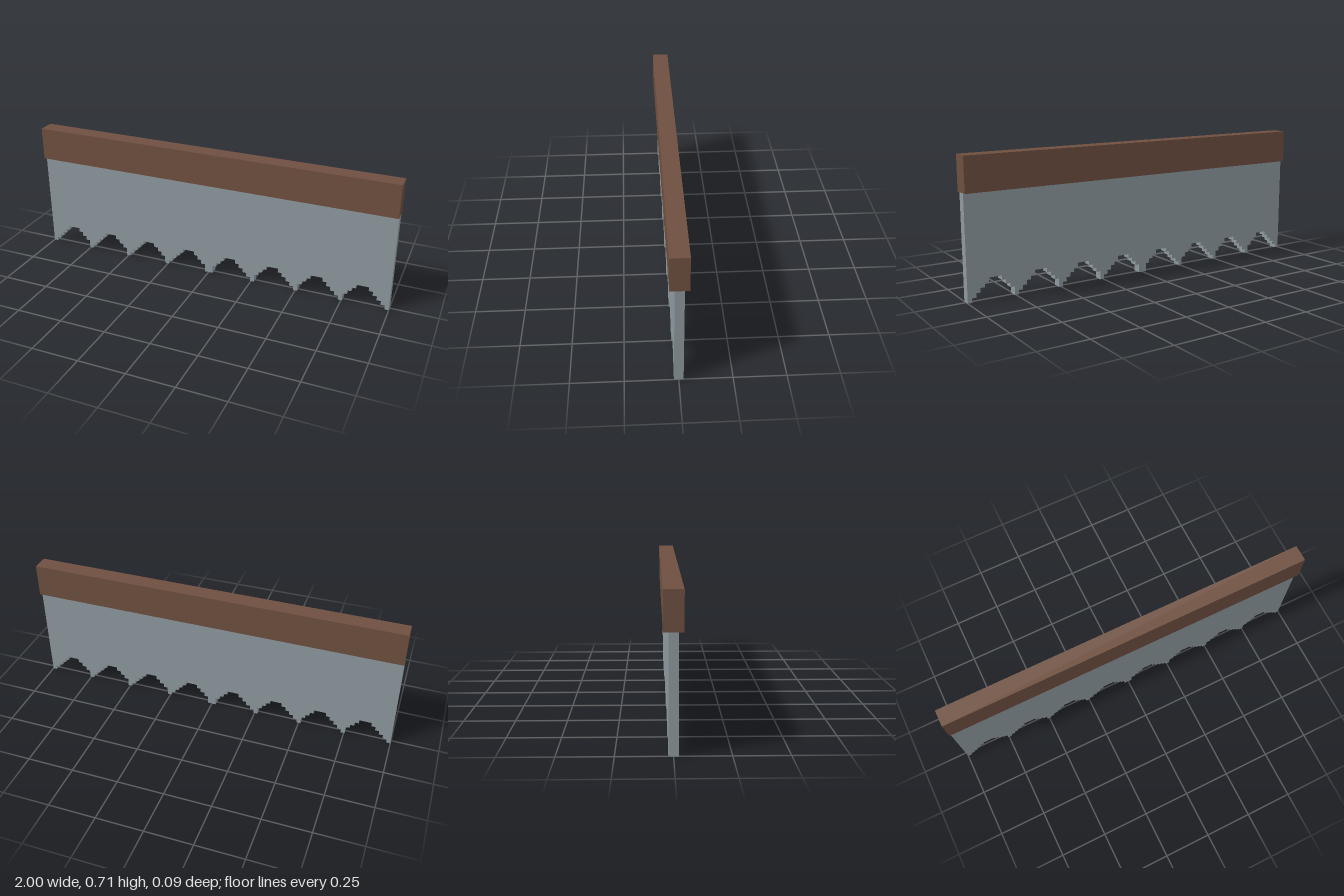
import * as THREE from 'three';

const U = 2 / 90;       // one grid step
const COLUMNS = 90;     // steps along the length
const PITCH = 11;       // steps from tooth to tooth
const BLADE_TOP = 24;   // steps
const HANDLE_HEIGHT = 8;

// Height of the stepped cutting edge in a column, mirrored about the middle
function edgeHeight(column) {
  const i = Math.min(column, COLUMNS - 1 - column) % PITCH;
  return Math.min(i, PITCH + 1 - i, 5) * (i === 0 ? 0 : 1);
}

function bladeShape() {
  const shape = new THREE.Shape();
  shape.moveTo(1, BLADE_TOP * U);
  shape.lineTo(-1, BLADE_TOP * U);
  let last = BLADE_TOP;
  for (let c = 0; c < COLUMNS; c++) {
    const h = edgeHeight(c);
    if (h !== last) {
      if (c > 0) shape.lineTo(-1 + c * U, last * U);
      shape.lineTo(-1 + c * U, h * U);
    }
    last = h;
  }
  shape.lineTo(1, last * U);
  return shape;
}

export function createModel() {
  const group = new THREE.Group();
  group.name = 'saw';

  const steel = new THREE.MeshStandardMaterial({ color: 0x8e999e });
  steel.name = 'steel grey';
  const wood = new THREE.MeshStandardMaterial({ color: 0x6e4f3f });
  wood.name = 'wood brown';

  // Blade with stepped teeth along the bottom
  const bladeGeometry = new THREE.ExtrudeGeometry(bladeShape(), { depth: 2 * U, bevelEnabled: false });
  bladeGeometry.translate(0, 0, -U);
  const blade = new THREE.Mesh(bladeGeometry, steel);
  blade.name = 'blade';

  // Wooden grip along the top
  const handle = new THREE.Mesh(new THREE.BoxGeometry(2, HANDLE_HEIGHT * U, 4 * U), wood);
  handle.position.y = (BLADE_TOP + HANDLE_HEIGHT / 2) * U;
  handle.name = 'handle';

  group.add(blade, handle);
  return group;
}
